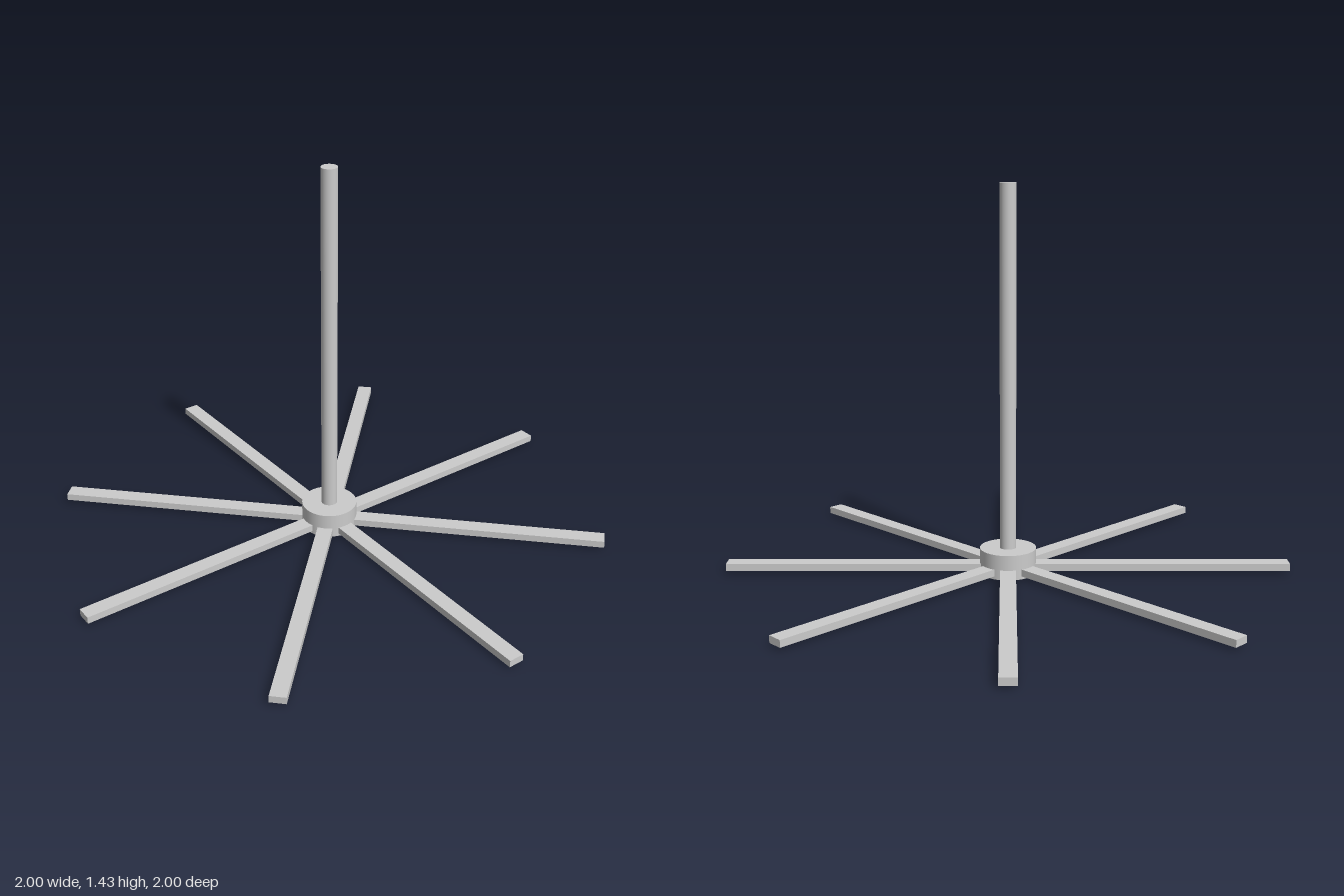
import * as THREE from 'three';

const material = new THREE.MeshStandardMaterial({ color: 0xcccccc });

function addPart(parent, name, geometry, y) {
  const mesh = new THREE.Mesh(geometry, material);
  mesh.name = name;
  mesh.position.y = y;
  parent.add(mesh);
  return mesh;
}

export function createModel() {
  const model = new THREE.Group();
  model.name = 'ceilingFan';

  // Hub disc and the long rod rising from it
  const hubHeight = 0.093, rodTop = 1.43;
  addPart(model, 'hub', new THREE.CylinderGeometry(0.104, 0.104, hubHeight, 48), hubHeight / 2);
  const rodBottom = 0.05;
  addPart(model, 'rod', new THREE.CylinderGeometry(0.03, 0.03, rodTop - rodBottom, 32), (rodTop + rodBottom) / 2);

  // Eight flat blades, evenly spaced, rooted inside the hub
  const count = 8, inner = 0.08, outer = 1.042;
  const bladeGeometry = new THREE.BoxGeometry(outer - inner, 0.026, 0.058);
  bladeGeometry.translate((inner + outer) / 2, 0, 0);
  const blades = new THREE.Group();
  blades.name = 'blades';
  for (let i = 0; i < count; i++) {
    const blade = addPart(blades, 'blade', bladeGeometry, 0.024);
    blade.rotation.y = THREE.MathUtils.degToRad(18) + (i * Math.PI * 2) / count;
  }
  model.add(blades);

  return model;
}
